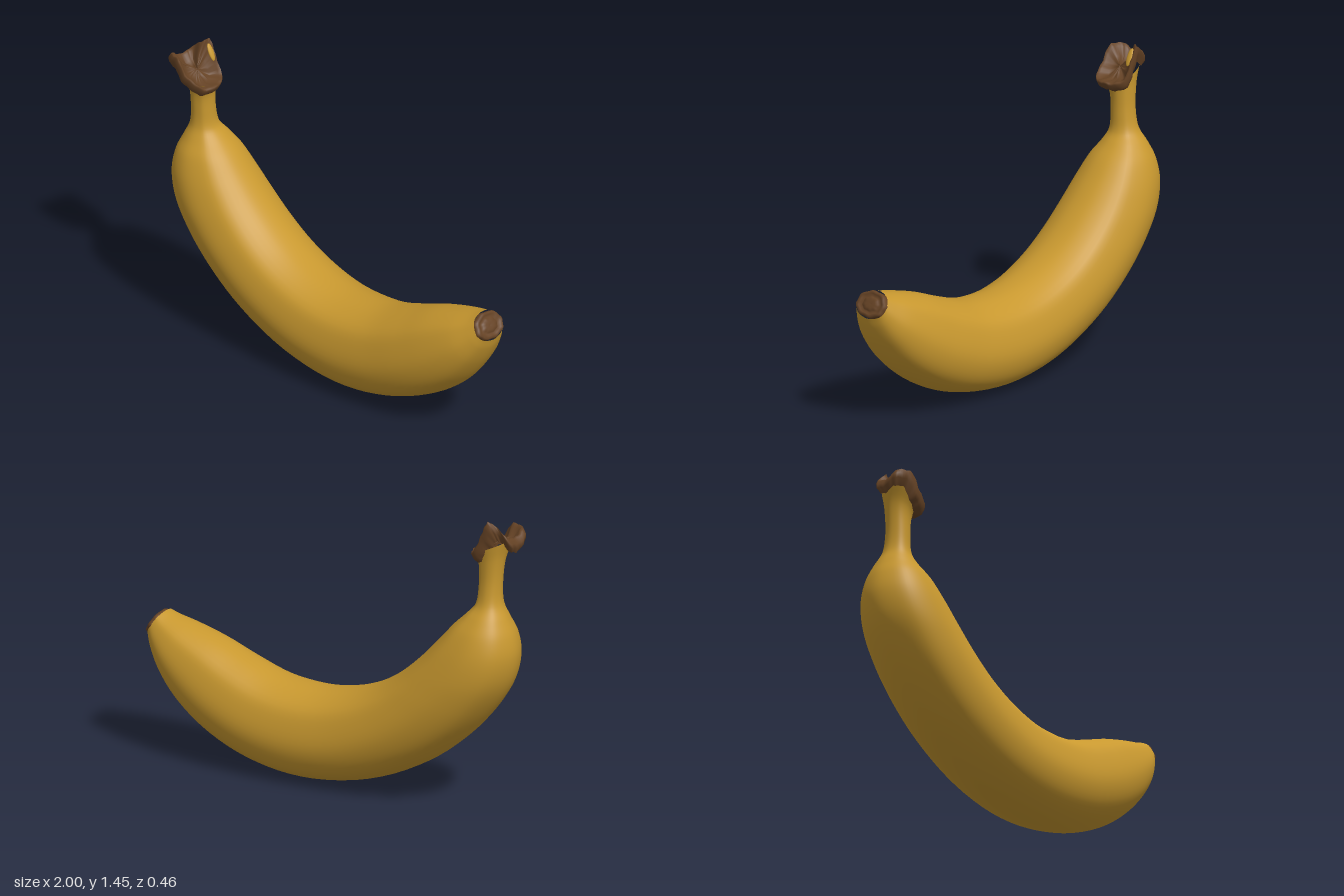
import * as THREE from 'three';

const V = (x, y, z) => new THREE.Vector3(x, y, z);

// Skin a list of closed rings (equal point counts) with smooth normals
function loft(rings) {
  const n = rings[0].length, pos = [], index = [];
  rings.forEach(r => r.forEach(p => pos.push(p.x, p.y, p.z)));
  for (let j = 0; j < rings.length - 1; j++) {
    for (let k = 0; k < n; k++) {
      const a = j * n + k, b = j * n + (k + 1) % n;
      index.push(a, b, a + n, b, b + n, a + n);
    }
  }
  const g = new THREE.BufferGeometry();
  g.setAttribute('position', new THREE.Float32BufferAttribute(pos, 3));
  g.setIndex(index);
  g.computeVertexNormals();
  return g;
}

// Softly ridged cross-section: x = outer(-1) to inner(+1) curve, y = half width
const half = [[0.94, 0.36], [0.68, 0.77], [0.3, 0.94], [-0.12, 1], [-0.5, 0.9], [-0.75, 0.71], [-0.93, 0.36]];
const profile = new THREE.CatmullRomCurve3([
  V(1, 0, 0), ...half.map(([u, w]) => V(u, w, 0)),
  V(-1, 0, 0), ...half.slice().reverse().map(([u, w]) => V(u, -w, 0)),
], true).getPoints(56).slice(0, -1);

// Stations from stem to tip: outer x, y, inner x, y, half width, centre z
const stations = [
  [-0.955, 1.35, -0.775, 1.265, 0.085, 0.04],
  [-0.925, 1.26, -0.793, 1.21, 0.062, 0.022],
  [-0.91, 1.13, -0.797, 1.11, 0.058, 0.015],
  [-0.917, 1.03, -0.785, 1.02, 0.07, 0.008],
  [-0.95, 0.96, -0.745, 0.972, 0.105, 0],
  [-0.985, 0.88, -0.68, 0.91, 0.15, 0],
  [-1.0, 0.78, -0.6, 0.82, 0.185, 0],
  [-0.975, 0.66, -0.5, 0.715, 0.208, 0],
  [-0.9, 0.53, -0.38, 0.61, 0.22, 0],
  [-0.75, 0.36, -0.26, 0.535, 0.226, 0],
  [-0.53, 0.19, -0.13, 0.485, 0.228, 0],
  [-0.22, 0.05, 0.01, 0.458, 0.228, 0],
  [0.12, 0.0, 0.14, 0.455, 0.228, 0],
  [0.42, 0.045, 0.3, 0.474, 0.222, 0],
  [0.66, 0.15, 0.47, 0.53, 0.21, 0],
  [0.83, 0.28, 0.63, 0.594, 0.185, 0],
  [0.93, 0.41, 0.78, 0.64, 0.15, 0],
  [0.98, 0.51, 0.88, 0.667, 0.11, 0],
  [0.995, 0.56, 0.92, 0.682, 0.09, 0],
];

function section(ox, oy, ix, iy, w, cz) {
  return profile.map(p => V(
    (ox + ix) / 2 + (ix - ox) / 2 * p.x,
    (oy + iy) / 2 + (iy - oy) / 2 * p.x,
    cz + w * p.y));
}

function peelGeometry() {
  const outer = new THREE.CatmullRomCurve3(stations.map(s => V(s[0], s[1], s[4])));
  const inner = new THREE.CatmullRomCurve3(stations.map(s => V(s[2], s[3], s[5])));
  const rings = [], steps = 90;
  for (let j = 0; j <= steps; j++) {
    const o = outer.getPoint(j / steps), i = inner.getPoint(j / steps);
    rings.push(section(o.x, o.y, i.x, i.y, o.z, i.z));
  }
  return loft(rings);
}

// Ragged, tilted cap where the stem was torn off
function stemCapGeometry() {
  const rim = new THREE.CatmullRomCurve3([
    V(-0.78, 1.28, -0.042), V(-0.835, 1.37, -0.052), V(-0.868, 1.448, -0.05), V(-0.895, 1.435, -0.025),
    V(-0.955, 1.385, -0.02), V(-0.97, 1.365, 0.04), V(-0.972, 1.395, 0.11), V(-0.91, 1.4, 0.14),
    V(-0.84, 1.32, 0.142), V(-0.76, 1.27, 0.105), V(-0.742, 1.268, 0.03),
  ], true).getPoints(66).slice(0, -1);
  const c = V(-0.86, 1.33, 0.045), n = V(0.5, 0.86, 0);
  // scale about the centre, shift along the cap axis
  const steps = [[0.7, -0.075], [0.93, -0.055], [1, -0.035], [1, -0.008], [0.96, 0], [0.85, -0.008], [0.55, -0.03], [0.25, -0.025], [0.001, -0.012]];
  return loft(steps.map(([s, d]) => rim.map((p, k) => {
    const jag = s > 0.2 ? 0.006 * Math.sin(k * 1.3) * Math.cos(k * 0.45 + s * 4) : 0;
    return p.clone().sub(c).multiplyScalar(s).add(c).addScaledVector(n, d + jag);
  })));
}

// Dry blossom end with a raised rim and a small central button
function tipGeometry() {
  const c = V(0.958, 0.62, 0), n = V(0.85, 0.52, 0);
  const base = section(0.992, 0.563, 0.924, 0.677, 0.089, 0);
  const steps = [[1, -0.012], [1.0, 0.004], [0.92, 0.016], [0.75, 0.014], [0.6, 0.006], [0.5, 0.014], [0.3, 0.017], [0.001, 0.015]];
  return loft(steps.map(([s, d]) => base.map((p, k) => {
    const wave = 1 + 0.03 * Math.sin(k / base.length * Math.PI * 16);
    return p.clone().sub(c).multiplyScalar(s * wave).add(c).addScaledVector(n, d);
  })));
}

export function createModel() {
  const yellow = new THREE.MeshStandardMaterial({ color: 0xc8982f });
  yellow.name = 'ripe yellow';
  const brown = new THREE.MeshStandardMaterial({ color: 0x664325 });
  brown.name = 'dry brown';

  const group = new THREE.Group();
  group.name = 'banana';
  const add = (name, geometry, material) => {
    const mesh = new THREE.Mesh(geometry, material);
    mesh.name = name;
    group.add(mesh);
    return mesh;
  };
  add('peel', peelGeometry(), yellow);
  add('stemCap', stemCapGeometry(), brown);
  add('blossomTip', tipGeometry(), brown);

  // Scrap of peel left on the torn spike
  const scrap = add('peelScrap', new THREE.SphereGeometry(1, 12, 8), yellow);
  scrap.scale.set(0.008, 0.045, 0.016);
  scrap.position.set(-0.848, 1.385, -0.032);
  scrap.rotation.z = 0.45;
  return group;
}
